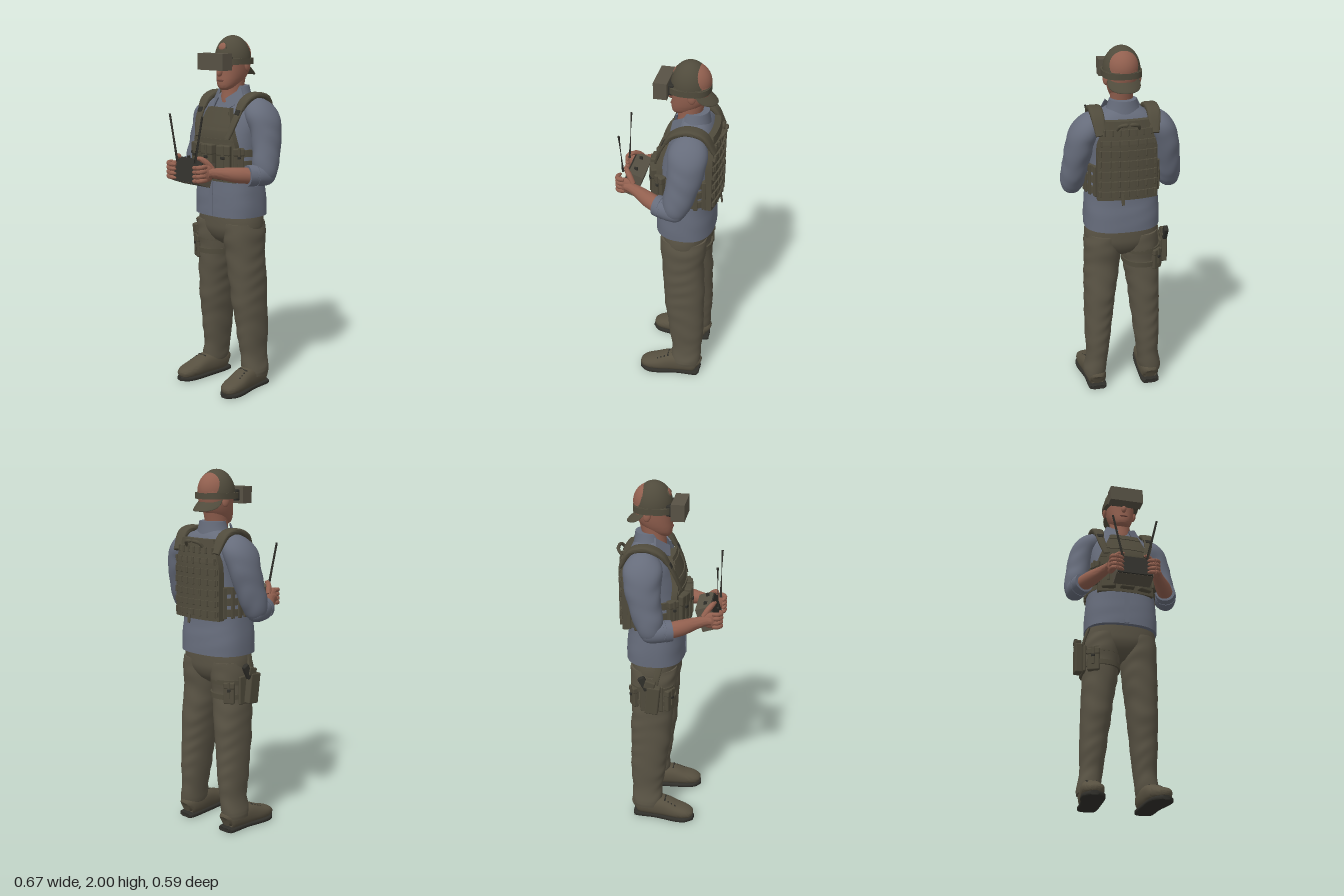
import * as THREE from 'three';
import { toCreasedNormals } from 'three/addons/utils/BufferGeometryUtils.js';
import { RoundedBoxGeometry } from 'three/addons/geometries/RoundedBoxGeometry.js';

const V = (x, y, z) => new THREE.Vector3(x, y, z);

// Skin a run of superellipse rings; rows are [x, y, z, radiusU, radiusV].
// level keeps every ring horizontal (rows must rise), otherwise rings follow the path.
function loft(rows, { level = false, n = 2, seg = 28, sub = 4, wrinkle = 0 } = {}) {
  const path = new THREE.CatmullRomCurve3(rows.map(r => V(r[0], r[1], r[2])), false, 'catmullrom');
  const radii = new THREE.CatmullRomCurve3(rows.map(r => V(r[3], r[4] ?? r[3], 0)), false, 'catmullrom');
  const count = (rows.length - 1) * sub, pos = [], idx = [];
  const pow = c => Math.sign(c) * Math.abs(c) ** (2 / n);
  for (let i = 0; i <= count; i++) {
    const c = path.getPoint(i / count), r = radii.getPoint(i / count);
    const t = level ? V(0, 1, 0) : path.getTangent(i / count);
    const u = V(1, 0, 0).addScaledVector(t, -t.x).normalize();
    const v = u.clone().cross(t);
    for (let j = 0; j < seg; j++) {
      const a = j / seg * Math.PI * 2;
      const w = 1 + wrinkle * Math.sin(c.y * 62 + 2 * Math.sin(a * 2 + c.y * 9)) * (0.6 + 0.4 * Math.cos(a * 3));
      const p = c.clone().addScaledVector(u, r.x * w * pow(Math.cos(a))).addScaledVector(v, r.y * w * pow(Math.sin(a)));
      pos.push(p.x, p.y, p.z);
    }
  }
  const start = pos.length / 3;
  for (const e of [rows[0], rows[rows.length - 1]]) pos.push(e[0], e[1], e[2]);
  for (let j = 0; j < seg; j++) {
    const k = (j + 1) % seg, top = count * seg;
    for (let i = 0; i < count; i++) {
      const a = i * seg + j, b = i * seg + k;
      idx.push(a, a + seg, b, b, a + seg, b + seg);
    }
    idx.push(start, j, k, start + 1, top + k, top + j);
  }
  const g = new THREE.BufferGeometry();
  g.setAttribute('position', new THREE.Float32BufferAttribute(pos, 3));
  g.setIndex(idx);
  return toCreasedNormals(g, 0.9);
}

// Upright curved plate: half width and front depth vary with height, sides bend away.
function slab(y0, y1, half, zAt, depth, bend) {
  const g = new THREE.BoxGeometry(2, y1 - y0, depth, 16, 10, 1), p = g.attributes.position;
  for (let i = 0; i < p.count; i++) {
    const y = p.getY(i) + (y0 + y1) / 2, x = p.getX(i) * half(y);
    p.setXYZ(i, x, y, p.getZ(i) + zAt(y) + bend * x * x);
  }
  g.computeVertexNormals();
  return g;
}

export function createModel() {
  const model = new THREE.Group();
  const paint = (name, color) => Object.assign(new THREE.MeshStandardMaterial({ color }), { name });
  const shirt = paint('blue grey cloth', 0x666c7b), pants = paint('olive trousers', 0x5a5445);
  const gear = paint('olive webbing', 0x504b3c), skin = paint('skin', 0x92604f);
  const lip = paint('lips', 0x6f453b), casing = paint('device casing', 0x585245);
  const dark = paint('dark rubber', 0x302f2a), boot = paint('boot leather', 0x575040);
  const add = (name, geo, mat, pos = [0, 0, 0], rot = [0, 0, 0], scale = [1, 1, 1], parent = model) => {
    const m = new THREE.Mesh(geo, mat);
    m.name = name;
    m.position.set(...pos); m.rotation.set(...rot); m.scale.set(...scale);
    parent.add(m);
    return m;
  };
  const ball = new THREE.SphereGeometry(1, 32, 20);
  const rbox = (w, h, d, r = 0.008) => new RoundedBoxGeometry(w, h, d, 2, r);
  const band = (y, h, x, z, rx, rz, n) => loft([[x, y - h / 2, z, rx, rz], [x, y + h / 2, z, rx, rz]], { level: true, n, sub: 1, seg: 40 });

  // Head and neck
  add('neck', loft([[0, 1.59, -0.09, 0.07, 0.06], [0, 1.64, -0.09, 0.064, 0.066], [0, 1.7, -0.092, 0.06, 0.063], [0, 1.77, -0.1, 0.062, 0.07]], { level: true }), skin);
  add('head', loft([[0, 1.705, -0.04, 0.022, 0.03], [0, 1.72, -0.05, 0.046, 0.052], [0, 1.75, -0.07, 0.064, 0.076],
    [0, 1.79, -0.088, 0.076, 0.092], [0, 1.84, -0.098, 0.083, 0.1], [0, 1.89, -0.1, 0.086, 0.1], [0, 1.94, -0.1, 0.07, 0.085], [0, 1.97, -0.1, 0.03, 0.04]], { level: true, n: 2.2 }), skin);
  add('skull', ball, skin, [0, 1.89, -0.105], [0, 0, 0], [0.088, 0.1, 0.098]);
  add('nose', ball, skin, [0, 1.805, 0.006], [-0.3, 0, 0], [0.015, 0.028, 0.019]);
  add('lips', ball, lip, [0, 1.757, 0.003], [0, 0, 0], [0.024, 0.006, 0.008]);
  for (const s of [1, -1]) add('ear', ball, skin, [s * 0.09, 1.835, -0.115], [0.2, s * 0.3, 0], [0.012, 0.033, 0.021]);

  // Backward cap with front opening and rear brim
  add('capDome', new THREE.SphereGeometry(1, 40, 16, 0, Math.PI * 2, 0, Math.PI / 2), gear, [0, 1.87, -0.092], [0, 0, 0], [0.1, 0.13, 0.101]);
  add('capBand', band(1.866, 0.024, 0, -0.094, 0.101, 0.106, 2.1), gear);
  add('capOpening', ball, skin, [0, 1.94, -0.015], [-0.5, 0, 0], [0.03, 0.024, 0.011]);
  add('capOpeningTrim', new THREE.TorusGeometry(0.032, 0.005, 8, 20, Math.PI), gear, [0, 1.932, -0.007], [-0.55, 0, 0]);
  const brim = new THREE.SphereGeometry(1, 32, 12).scale(0.088, 0.007, 0.085), bp = brim.attributes.position;
  for (let i = 0; i < bp.count; i++) bp.setY(i, bp.getY(i) - 4 * bp.getX(i) ** 2);
  brim.computeVertexNormals();
  add('capBrim', brim, gear, [0, 1.837, -0.175], [-0.72, 0, 0]);

  // Goggles
  add('goggles', new THREE.BoxGeometry(0.196, 0.09, 0.072), casing, [0, 1.86, 0.046]);
  add('goggleStrap', band(1.86, 0.032, 0, -0.09, 0.105, 0.112, 2.6), gear);
  add('goggleGasket', rbox(0.15, 0.06, 0.04), dark, [0, 1.86, 0]);

  // Shirt
  add('shirtBody', loft([[0, 1.01, -0.083, 0.208, 0.163], [0, 1.1, -0.082, 0.208, 0.16], [0, 1.2, -0.08, 0.2, 0.152], [0, 1.4, -0.09, 0.19, 0.145],
    [0, 1.53, -0.11, 0.2, 0.13], [0, 1.6, -0.12, 0.19, 0.11], [0, 1.65, -0.12, 0.14, 0.09], [0, 1.685, -0.115, 0.08, 0.07]], { level: true, n: 2.5, seg: 48, wrinkle: 0.006 }), shirt);
  add('collar', loft([[0, 1.64, -0.122, 0.105, 0.085], [0, 1.69, -0.122, 0.084, 0.077], [0, 1.727, -0.125, 0.072, 0.069]], { level: true }), shirt);
  add('placket', new THREE.BoxGeometry(0.028, 0.19, 0.006), shirt, [0, 1.11, 0.078], [-0.03, 0, 0]);
  for (const s of [1, -1]) {
    const wing = new THREE.ExtrudeGeometry(new THREE.Shape([[0.085, 1.715], [0.03, 1.66], [0.055, 1.605], [0.115, 1.655]].map(([x, y]) => new THREE.Vector2(s * x, y))), { depth: 0.01, bevelEnabled: false });
    const wp = wing.attributes.position;
    for (let i = 0; i < wp.count; i++) wp.setZ(i, wp.getZ(i) + 0.012 - 0.7 * (Math.abs(wp.getX(i)) - 0.03) - 0.5 * (wp.getY(i) - 1.605));
    wing.computeVertexNormals();
    add('collarWing', wing, shirt);

    // Arms with rolled sleeves
    const along = (rows, o) => loft(rows.map(([x, ...r]) => [s * x, ...r]), o);
    add('upperSleeve', along([[0.1, 1.615, -0.12, 0.05, 0.06], [0.165, 1.595, -0.122, 0.07, 0.095], [0.21, 1.55, -0.122, 0.075, 0.105], [0.235, 1.47, -0.117, 0.075, 0.095],
      [0.252, 1.38, -0.1, 0.07, 0.085], [0.265, 1.3, -0.08, 0.068, 0.076], [0.27, 1.24, -0.07, 0.055, 0.055], [0.27, 1.215, -0.066, 0.025, 0.025]], { wrinkle: 0.025, sub: 6 }), shirt);
    add('lowerSleeve', along([[0.275, 1.25, -0.12, 0.025], [0.274, 1.252, -0.09, 0.052], [0.262, 1.257, -0.03, 0.058], [0.245, 1.26, 0.025, 0.054]], { wrinkle: 0.02 }), shirt);
    add('sleeveCuff', along([[0.257, 1.258, -0.012, 0.06], [0.24, 1.26, 0.035, 0.057]], { sub: 2 }), shirt);
    add('forearm', along([[0.255, 1.257, 0, 0.044], [0.212, 1.265, 0.08, 0.043], [0.168, 1.275, 0.15, 0.033], [0.142, 1.28, 0.2, 0.027], [0.132, 1.28, 0.23, 0.025]]), skin);

    // Hands
    add('palm', ball, skin, [s * 0.125, 1.28, 0.235], [0, -s * 0.25, 0], [0.022, 0.046, 0.05]);
    for (let i = 0; i < 4; i++) {
      const y = 1.318 - i * 0.024;
      add('finger', along([[0.132, y, 0.24, 0.012], [0.132, y, 0.268, 0.013], [0.112, y - 0.003, 0.284, 0.012], [0.085, y - 0.005, 0.281, 0.011], [0.068, y - 0.006, 0.274, 0.005]], { seg: 12 }), skin);
    }
    add('thumb', along([[0.132, 1.3, 0.19, 0.014], [0.112, 1.335, 0.215, 0.016], [0.085, 1.357, 0.238, 0.013], [0.058, 1.357, 0.25, 0.006]], { seg: 14 }), skin);

    // Controller sticks and antennas
    add('controlStick', new THREE.BoxGeometry(0.009, 0.022, 0.018), dark, [s * 0.055, 1.345, 0.193]);
    add('antenna', along([[0.07, 1.33, 0.262, 0.007], [0.128, 1.585, 0.262, 0.006]], { seg: 10, sub: 1 }), dark);

    // Vest shoulders
    add('shoulderPad', along([[0.145, 1.6, 0.004, 0.026, 0.01], [0.15, 1.65, -0.035, 0.034, 0.015], [0.15, 1.68, -0.11, 0.036, 0.016], [0.15, 1.66, -0.195, 0.035, 0.015], [0.14, 1.57, -0.25, 0.028, 0.01]], { n: 4 }), gear);
    add('shoulderStrap', along([[0.148, 1.63, -0.012, 0.024, 0.008], [0.14, 1.54, 0.035, 0.022, 0.008], [0.115, 1.45, 0.066, 0.018, 0.008]], { n: 4 }), gear);
    add('strapBuckle', rbox(0.034, 0.03, 0.016, 0.004), dark, [s * 0.146, 1.59, 0.014], [-0.45, 0, 0]);
    for (let i = 0; i < 4; i++) add('sideWebbing', rbox(0.012, 0.17, 0.022, 0.004), gear, [s * (0.206 - 0.006 * i * i * 0.7), 1.305, -0.085 - i * 0.04], [0, s * i * 0.13, 0]);

    // Legs
    add('trouserLeg', along([[0.167, 0.075, -0.115, 0.06, 0.085], [0.163, 0.11, -0.118, 0.064, 0.088], [0.15, 0.2, -0.12, 0.061, 0.088], [0.145, 0.3, -0.115, 0.07, 0.1], [0.14, 0.4, -0.11, 0.076, 0.105],
      [0.133, 0.5, -0.1, 0.083, 0.113], [0.127, 0.6, -0.098, 0.088, 0.117], [0.118, 0.7, -0.09, 0.096, 0.118], [0.11, 0.8, -0.085, 0.1, 0.118], [0.105, 0.9, -0.085, 0.104, 0.13], [0.1, 0.97, -0.085, 0.1, 0.128]], { level: true, n: 2.2, sub: 6, wrinkle: 0.022 }), pants);

    // Boots
    add('boot', along([[0.158, 0.06, -0.195, 0.028, 0.03], [0.158, 0.068, -0.175, 0.05, 0.054], [0.16, 0.072, -0.1, 0.058, 0.062], [0.168, 0.068, -0.02, 0.058, 0.058],
      [0.176, 0.055, 0.05, 0.06, 0.043], [0.182, 0.046, 0.11, 0.053, 0.033], [0.187, 0.038, 0.143, 0.034, 0.022], [0.188, 0.035, 0.153, 0.012, 0.01]], { n: 2.5 }), boot);
    add('sole', along([[0.158, 0.013, -0.2, 0.032, 0.012], [0.158, 0.013, -0.18, 0.052, 0.013], [0.162, 0.013, -0.06, 0.055, 0.013], [0.177, 0.013, 0.06, 0.064, 0.013],
      [0.183, 0.013, 0.12, 0.054, 0.013], [0.188, 0.014, 0.157, 0.02, 0.012]], { n: 5 }), dark);
    for (let i = 0; i < 4; i++) add('lace', rbox(0.06, 0.008, 0.01, 0.003), dark, [s * (0.171 + i * 0.003), 0.121 - i * 0.009, -0.012 + i * 0.02], [0.45, 0, 0]);
  }

  // Trouser hips
  add('trouserHips', loft([[0, 0.835, -0.085, 0.045, 0.06], [0, 0.87, -0.085, 0.13, 0.105], [0, 0.92, -0.085, 0.195, 0.13], [0, 0.97, -0.085, 0.205, 0.136], [0, 1.03, -0.085, 0.198, 0.138]], { level: true, n: 2.3, seg: 40 }), pants);

  // Controller, tilted toward the user
  const controller = new THREE.Group();
  controller.name = 'controller';
  controller.position.set(0, 1.275, 0.21);
  controller.rotation.x = -0.33;
  model.add(controller);
  add('controllerBody', new THREE.BoxGeometry(0.21, 0.135, 0.085), casing, [0, 0, -0.006], [0, 0, 0], [1, 1, 1], controller);
  add('controllerFace', new THREE.BoxGeometry(0.2, 0.133, 0.008), dark, [0, 0, 0.04], [0, 0, 0], [1, 1, 1], controller);

  // Vest front plate, trim and waist bands
  const frontZ = y => 0.06 - Math.max(0, y - 1.47) * 0.38;
  const frontHalf = y => 0.162 - Math.max(0, y - 1.42) * 0.42;
  add('vestFront', slab(1.21, 1.61, frontHalf, frontZ, 0.032, -0.9), gear);
  for (const y of [1.43, 1.49, 1.575]) add('frontTrim', slab(y, y + 0.016, v => frontHalf(v) * 0.96, v => frontZ(v) + 0.018, 0.008, -0.9), gear);
  for (const y of [1.25, 1.31, 1.37]) add('waistBand', band(y, 0.038, 0, -0.09, 0.203, 0.158, 2.6), gear);

  // Vest back plate with webbing rows
  const backHalf = y => 0.162 - Math.max(0, y - 1.5) * 0.35;
  const backZ = y => -0.25 + Math.max(0, y - 1.52) * 0.15;
  add('vestBack', slab(1.21, 1.64, backHalf, backZ, 0.036, 0.9), gear);
  for (let i = 0; i < 7; i++) {
    const y = 1.235 + i * 0.056;
    add('backWebbing', slab(y, y + 0.027, v => backHalf(v) * 0.97, v => backZ(v) - 0.022, 0.01, 0.9), gear);
    for (let j = -3; j <= 3; j++) {
      const x = j * 0.3 * backHalf(y);
      add('webbingLoop', rbox(0.01, 0.036, 0.012, 0.003), gear, [x, y + 0.013, backZ(y) - 0.025 + 0.9 * x * x]);
    }
  }
  add('dragHandle', loft([[-0.06, 1.6, -0.26, 0.008], [-0.045, 1.625, -0.28, 0.009], [0, 1.63, -0.285, 0.01], [0.045, 1.625, -0.28, 0.009], [0.06, 1.6, -0.26, 0.008]], { seg: 12 }), gear);
  add('hangingStrap', rbox(0.018, 0.08, 0.008, 0.003), gear, [0.03, 1.225, -0.276], [0.15, 0, 0]);

  // Magazine and utility pouches
  const pouch = (x, y, z, w, h, d, ry) => {
    const g = new THREE.Group();
    g.name = 'pouch';
    g.position.set(x, y, z);
    g.rotation.y = ry;
    model.add(g);
    const put = (name, geo, mat, p) => add(name, geo, mat, p, [0, 0, 0], [1, 1, 1], g);
    put('pouchBody', rbox(w, h, d), gear, [0, 0, 0]);
    put('pouchFlap', rbox(w * 1.05, h * 0.3, d * 1.12), gear, [0, h * 0.36, 0.002]);
    put('pouchStrap', rbox(w * 0.22, h * 0.8, 0.008, 0.003), gear, [0, 0.02, d / 2 + 0.004]);
    put('pouchClip', rbox(w * 0.3, 0.016, 0.01, 0.003), dark, [0, h * 0.15, d / 2 + 0.006]);
  };
  pouch(0, 1.32, 0.093, 0.082, 0.19, 0.038, 0);
  for (const s of [1, -1]) {
    pouch(s * 0.105, 1.32, 0.076, 0.08, 0.19, 0.038, s * 0.36);
    pouch(s * 0.168, 1.33, 0.03, 0.06, 0.14, 0.035, s * 0.9);
  }

  // Thigh holster on the right leg
  for (const y of [0.785, 0.865]) add('thighStrap', band(y, 0.028, -0.111, -0.086, 0.107, 0.127, 2.2), gear);
  add('dropStrap', loft([[-0.19, 1.01, -0.04, 0.008, 0.018], [-0.215, 0.94, -0.055, 0.007, 0.018], [-0.222, 0.86, -0.07, 0.007, 0.018]], { n: 4 }), gear);
  add('holsterPanel', rbox(0.016, 0.16, 0.13), gear, [-0.216, 0.82, -0.08]);
  add('holster', rbox(0.042, 0.17, 0.075), gear, [-0.245, 0.83, -0.07], [0.1, 0, 0.03]);
  add('holsterLid', rbox(0.036, 0.05, 0.06), gear, [-0.247, 0.925, -0.085], [0.3, 0, 0]);
  add('pistolGrip', rbox(0.026, 0.085, 0.04), dark, [-0.248, 0.93, -0.115], [-0.5, 0, 0]);
  pouch(-0.172, 0.8, 0.012, 0.07, 0.13, 0.032, -0.45);
  pouch(-0.18, 0.81, -0.185, 0.06, 0.12, 0.03, Math.PI + 0.6);
  return model;
}
